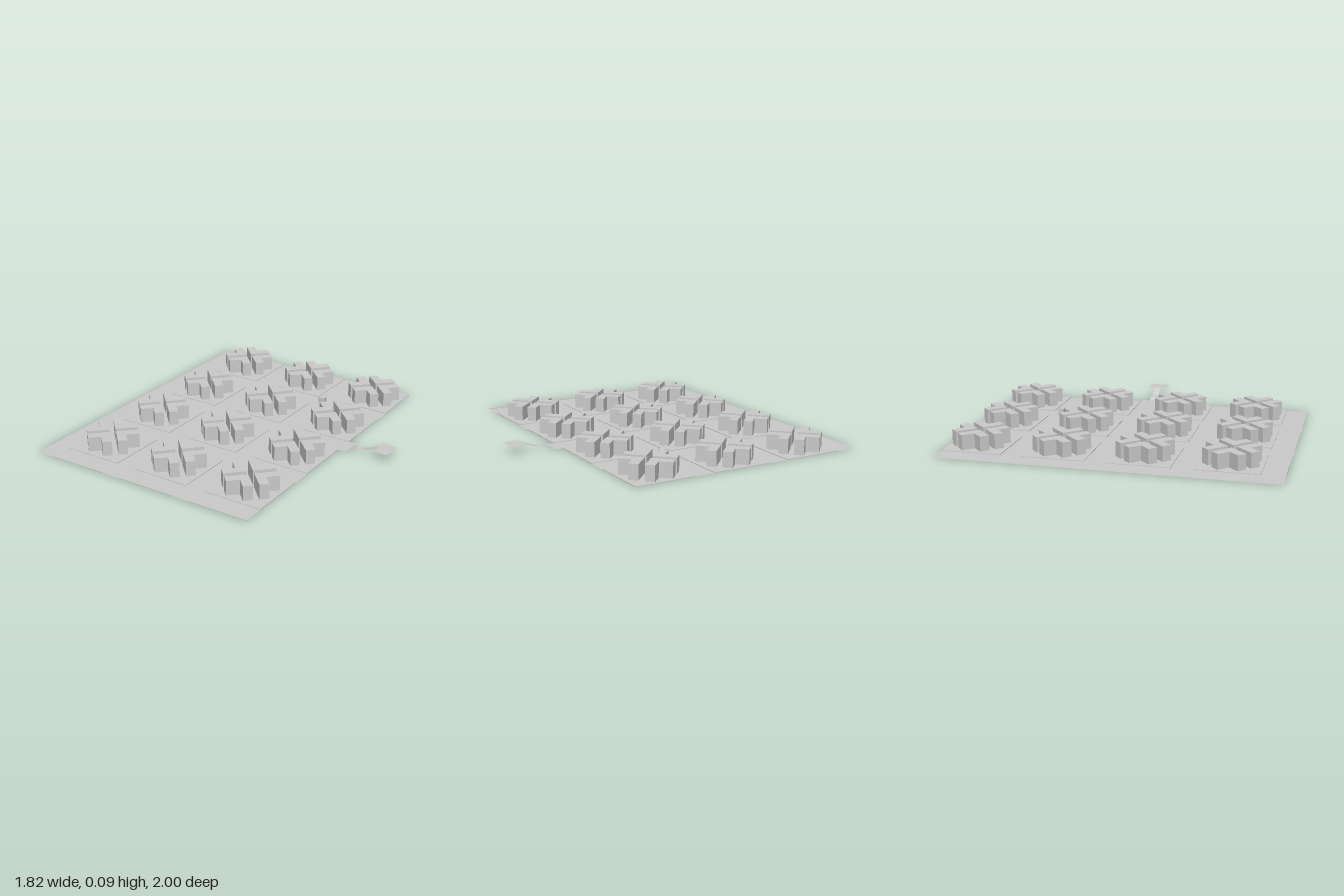
import * as THREE from 'three';

const material = new THREE.MeshStandardMaterial({ color: 0xcccccc, flatShading: true, side: THREE.DoubleSide });

function add(parent, name, geometry) {
  const mesh = new THREE.Mesh(geometry, material);
  mesh.name = name;
  parent.add(mesh);
  return mesh;
}

// Box given by its limits on each axis
function box(parent, name, x0, x1, y0, y1, z0, z1) {
  const mesh = add(parent, name, new THREE.BoxGeometry(x1 - x0, y1 - y0, z1 - z0));
  mesh.position.set((x0 + x1) / 2, (y0 + y1) / 2, (z0 + z1) / 2);
  return mesh;
}

// Thin sheet from x0 to x1, level or sloping from y0 to y1
function sheet(parent, name, x0, x1, z0, z1, y0 = 0, y1 = y0) {
  const length = Math.hypot(x1 - x0, y1 - y0);
  const geometry = new THREE.PlaneGeometry(length, z1 - z0).rotateX(-Math.PI / 2);
  geometry.rotateZ(Math.atan2(y1 - y0, x1 - x0));
  const mesh = add(parent, name, geometry);
  mesh.position.set((x0 + x1) / 2, (y0 + y1) / 2, (z0 + z1) / 2);
  return mesh;
}

// V-shaped tower block whose tip points at the middle of its lot
function chevronGeometry(height) {
  const shape = new THREE.Shape([
    [-0.025, 0], [-0.121, 0.096], [-0.161, 0.056],
    [-0.105, 0], [-0.161, -0.056], [-0.121, -0.096],
  ].map(([x, y]) => new THREE.Vector2(x, y)));
  return new THREE.ExtrudeGeometry(shape, { depth: height, bevelEnabled: false }).rotateX(-Math.PI / 2);
}

export function createModel() {
  const city = new THREE.Group();
  city.name = 'cityBlocks';

  const columns = [-0.598, -0.098, 0.402];
  const rows = [-0.823, -0.323, 0.177, 0.677];
  const half = 0.185, road = 0.13, curb = 0.004;
  const tower = chevronGeometry(0.095);

  for (const cx of columns) {
    // Avenue to the side of each column of lots
    sheet(city, 'avenue', cx - half - road, cx - half, -1, 1);

    for (const cz of rows) {
      // Raised lot, the road after it, and four towers around its middle
      box(city, 'lot', cx - half, cx + half, 0, curb, Math.max(-1, cz - half), cz + half);
      sheet(city, 'street', cx - half, cx + half, cz + half, cz + half + road);

      const cluster = new THREE.Group();
      cluster.name = 'towerCluster';
      cluster.position.set(cx, 0, cz);
      for (let i = 0; i < 4; i++) {
        add(cluster, 'chevronTower', tower).rotation.y = i * Math.PI / 2;
      }
      city.add(cluster);
    }
    // Edge of the next row of lots
    box(city, 'lotEdge', cx - half, cx + half, 0, curb, 0.992, 1);
  }

  // Small kiosk on its pad at a crossing
  box(city, 'kioskPad', 0.122, 0.186, 0, 0.002, -0.598, -0.538);
  box(city, 'kiosk', 0.133, 0.176, 0, 0.041, -0.587, -0.549);

  // Rising footbridge that ends in a raised platform
  const bridge = new THREE.Group();
  bridge.name = 'footbridge';
  sheet(bridge, 'roadEnd', 0.587, 0.635, -0.138, -0.008);
  sheet(bridge, 'lowerRamp', 0.635, 0.68, -0.09, -0.047, 0, 0.016);
  sheet(bridge, 'landing', 0.68, 0.72, -0.09, -0.047, 0.016);
  sheet(bridge, 'upperRamp', 0.72, 0.815, -0.09, -0.047, 0.016, 0.05);
  sheet(bridge, 'platform', 0.815, 0.91, -0.138, -0.008, 0.05);
  city.add(bridge);

  return city;
}
